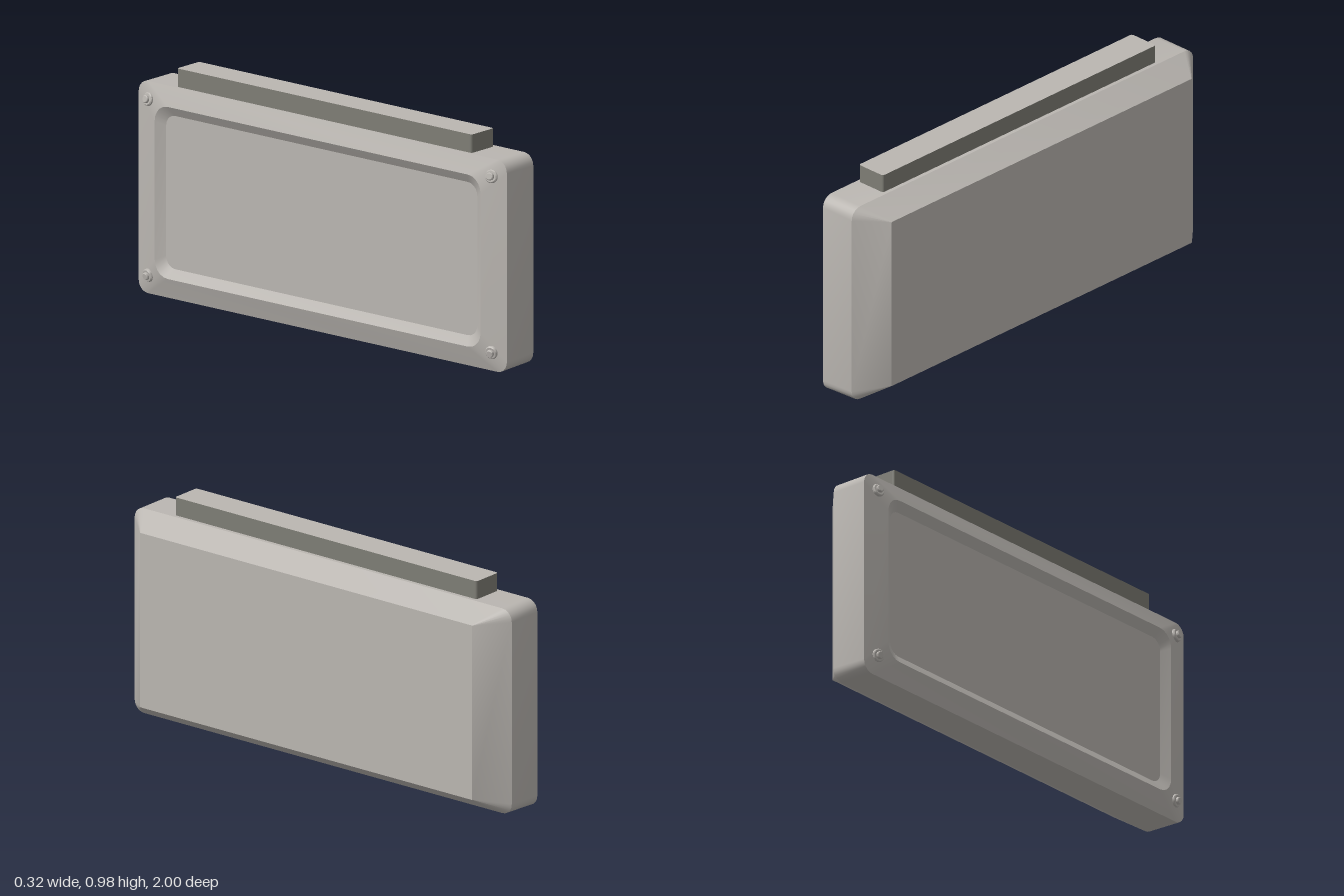
import * as THREE from 'three';
import { toCreasedNormals } from 'three/addons/utils/BufferGeometryUtils.js';

// Rounded rectangle loop in the z/y plane at a given x
function ring({ x, z, y0, y1, r }, steps = 5) {
  const pts = [];
  const corners = [[z - r, y1 - r], [-z + r, y1 - r], [-z + r, y0 + r], [z - r, y0 + r]];
  corners.forEach(([cz, cy], c) => {
    for (let i = 0; i <= steps; i++) {
      const a = (c + i / steps) * Math.PI / 2;
      pts.push(new THREE.Vector3(x, cy + r * Math.sin(a), cz + r * Math.cos(a)));
    }
  });
  return pts;
}

// Join consecutive loops with triangles and close both ends
function loft(sections) {
  const rings = sections.map((s) => ring(s));
  const n = rings[0].length;
  const pos = [];
  const tri = (...v) => v.forEach((p) => pos.push(p.x, p.y, p.z));
  const centre = (s) => new THREE.Vector3(s.x, (s.y0 + s.y1) / 2, 0);
  const first = centre(sections[0]);
  const last = centre(sections[sections.length - 1]);
  for (let i = 0; i < n; i++) {
    const k = (i + 1) % n;
    tri(first, rings[0][k], rings[0][i]);
    for (let j = 0; j < rings.length - 1; j++) {
      const a = rings[j], b = rings[j + 1];
      tri(a[i], a[k], b[i]);
      tri(a[k], b[k], b[i]);
    }
    const e = rings[rings.length - 1];
    tri(last, e[i], e[k]);
  }
  const g = new THREE.BufferGeometry();
  g.setAttribute('position', new THREE.Float32BufferAttribute(pos, 3));
  return toCreasedNormals(g, 0.35);
}

export function createModel() {
  const group = new THREE.Group();
  const casing = new THREE.MeshStandardMaterial({ color: 0xbab6b1 });
  casing.name = 'casing grey';
  const stripSide = new THREE.MeshStandardMaterial({ color: 0x7e7d75 });
  stripSide.name = 'strip side grey';

  // Casing: bevelled face, straight walls, sloping rim and recessed panel
  const body = new THREE.Mesh(loft([
    { x: 0.156, z: 0.88, y0: 0.08, y1: 0.84, r: 0.003 },
    { x: 0.045, z: 1, y0: 0.008, y1: 0.9, r: 0.05 },
    { x: -0.12, z: 1, y0: 0, y1: 0.9, r: 0.05 },
    { x: -0.152, z: 0.885, y0: 0.09, y1: 0.82, r: 0.07 },
    { x: -0.127, z: 0.845, y0: 0.13, y1: 0.78, r: 0.05 },
  ]), casing);
  body.name = 'casing';
  group.add(body);

  // Raised strip on top, with darker sides
  const x0 = -0.11, x1 = 0.028, h = 0.8, r = 0.012;
  const outline = new THREE.Shape();
  outline.moveTo(x0 + r, -h);
  outline.lineTo(x1 - r, -h);
  outline.quadraticCurveTo(x1, -h, x1, -h + r);
  outline.lineTo(x1, h - r);
  outline.quadraticCurveTo(x1, h, x1 - r, h);
  outline.lineTo(x0 + r, h);
  outline.quadraticCurveTo(x0, h, x0, h - r);
  outline.lineTo(x0, -h + r);
  outline.quadraticCurveTo(x0, -h, x0 + r, -h);
  const stripGeo = new THREE.ExtrudeGeometry(outline, { depth: 0.088, bevelEnabled: false, curveSegments: 4 });
  stripGeo.rotateX(-Math.PI / 2);
  const strip = new THREE.Mesh(stripGeo, [casing, stripSide]);
  strip.position.y = 0.89;
  strip.name = 'topStrip';
  group.add(strip);

  // Corner screws, tilted with the rim: flange and smaller head
  const profile = [[0.028, -0.012], [0.028, 0.004], [0.024, 0.008], [0.016, 0.008], [0.016, 0.017], [0.013, 0.02], [0, 0.02]]
    .map(([a, b]) => new THREE.Vector2(a, b));
  const screwGeo = toCreasedNormals(new THREE.LatheGeometry(profile, 20), 0.5);
  for (const [y, sy] of [[0.83, 1], [0.083, -1]]) {
    for (const sz of [-1, 1]) {
      const screw = new THREE.Mesh(screwGeo, casing);
      screw.position.set(-0.138, y, sz * 0.932);
      const normal = new THREE.Vector3(-1, sy * 0.2, sz * 0.2).normalize();
      screw.quaternion.setFromUnitVectors(new THREE.Vector3(0, 1, 0), normal);
      screw.name = 'cornerScrew';
      group.add(screw);
    }
  }
  return group;
}
